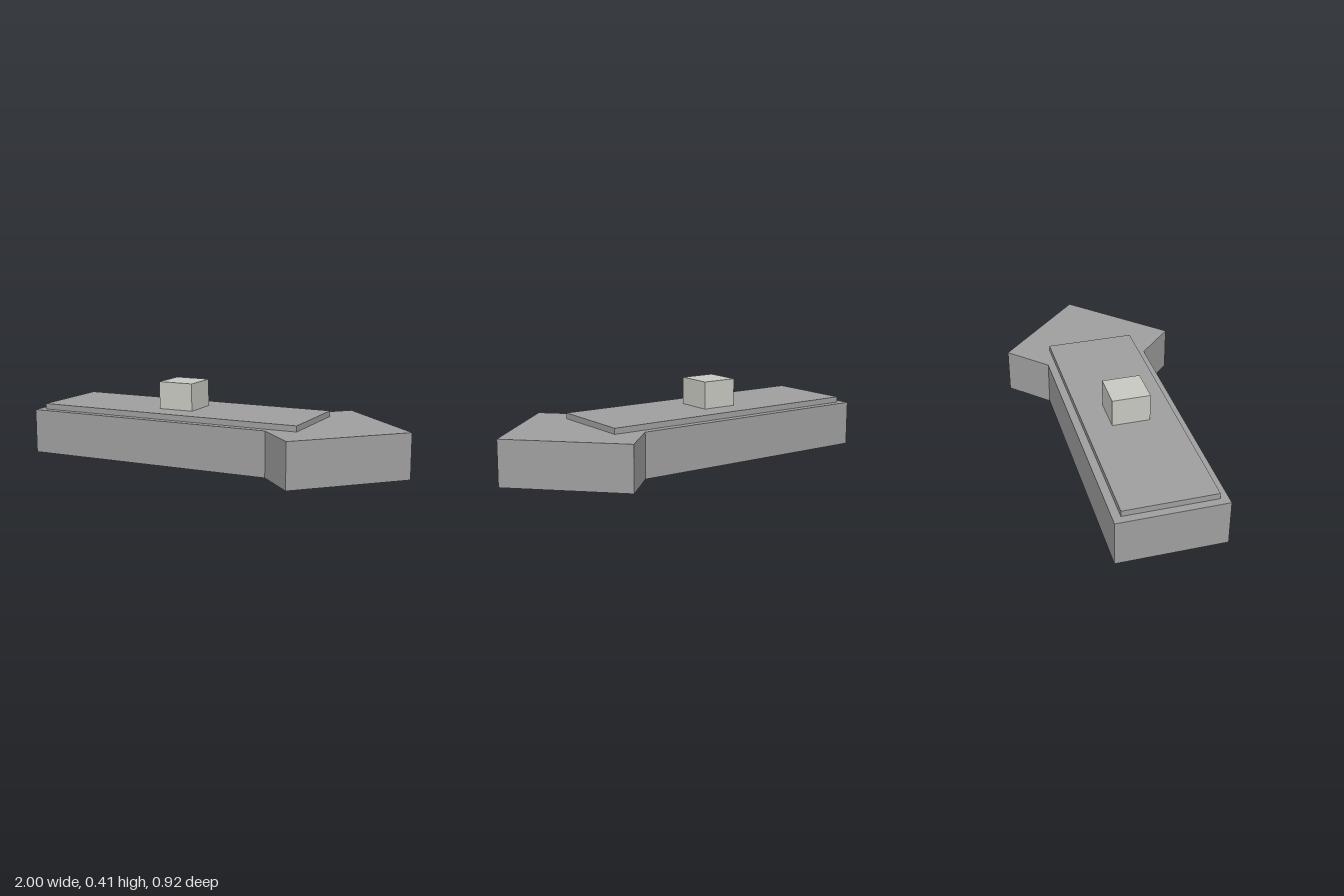
import * as THREE from 'three';

export function createModel() {
  const model = new THREE.Group();
  const grey = new THREE.MeshStandardMaterial({ color: 0xa0a0a0 });
  grey.name = 'mid grey';
  const pale = new THREE.MeshStandardMaterial({ color: 0xcacac4 });
  pale.name = 'pale warm grey';

  const add = (name, geometry, material) => {
    const mesh = new THREE.Mesh(geometry, material);
    mesh.name = name;
    model.add(mesh);
    return mesh;
  };
  // Box given by its x range, y range and half depth
  const block = (name, x0, x1, y0, y1, halfZ, material) =>
    add(name, new THREE.BoxGeometry(x1 - x0, y1 - y0, 2 * halfZ), material)
      .position.set((x0 + x1) / 2, (y0 + y1) / 2, 0);

  // Arrow-shaped base: a bar with a square-cornered head pointing to +x
  const height = 0.233;
  const half = [[-1, 0.271], [0.353, 0.271], [0.54, 0.458]];
  const outline = new THREE.Shape([
    ...half.map(([x, z]) => new THREE.Vector2(x, -z)),
    new THREE.Vector2(1, 0),
    ...half.slice().reverse().map(([x, z]) => new THREE.Vector2(x, z)),
  ]);
  const base = new THREE.ExtrudeGeometry(outline, { depth: height, bevelEnabled: false });
  base.rotateX(-Math.PI / 2);
  add('arrowBase', base, grey);

  // Raised top plate and the square knob standing on it
  block('topPlate', -0.96, 0.5, height, 0.263, 0.231, grey);
  block('knob', -0.328, -0.138, 0.263, 0.406, 0.097, pale);

  return model;
}
